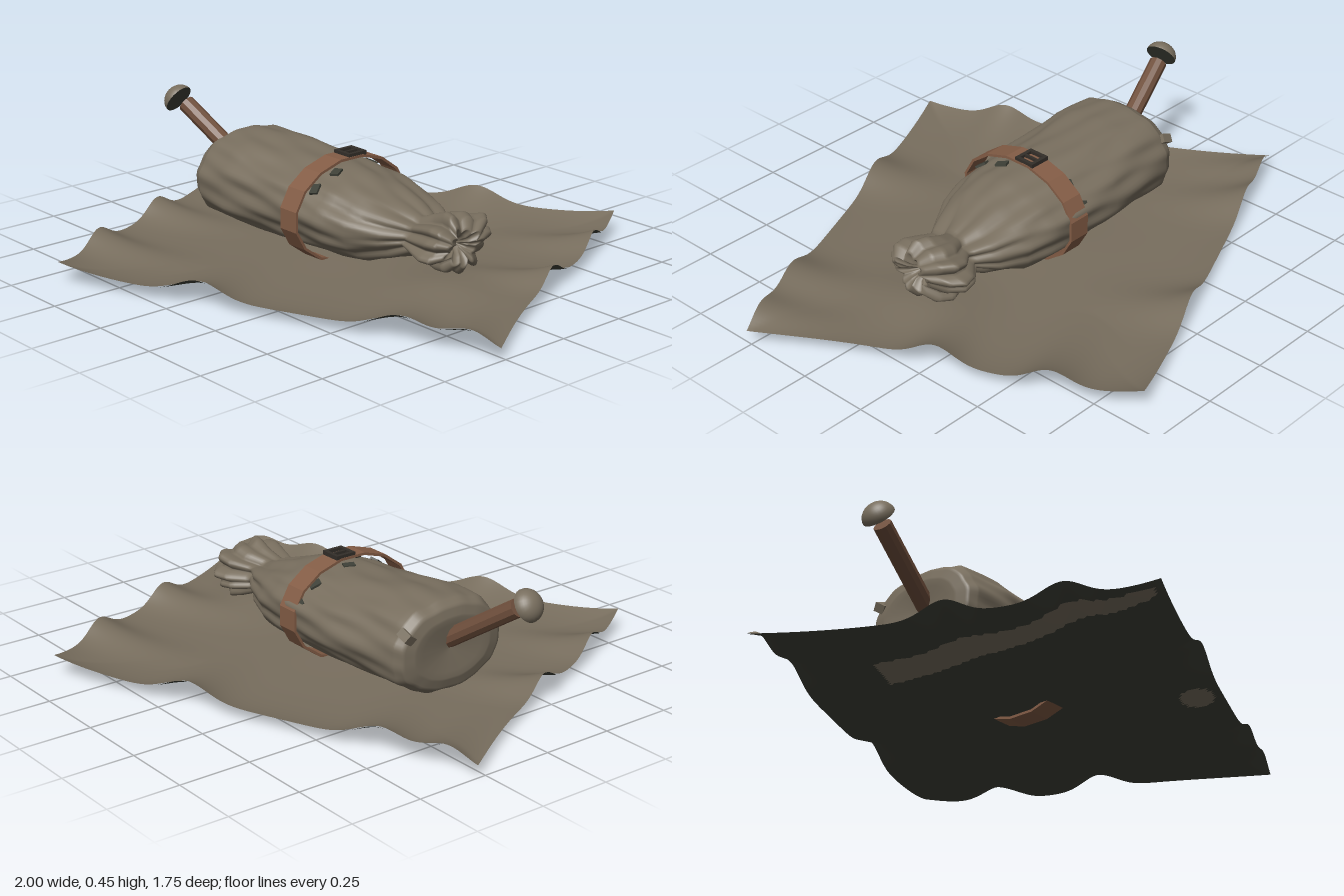
import * as THREE from 'three';

const mat = (name, color) => {
  const m = new THREE.MeshStandardMaterial({ color });
  m.name = name;
  return m;
};

// faceted normals
const facet = (g) => {
  const f = g.index ? g.toNonIndexed() : g;
  f.computeVertexNormals();
  return f;
};

// sum of soft bumps centred on the given places
const bumps = (u, centres) => centres.reduce((sum, c) => sum + Math.exp(-(((u - c) / 0.14) ** 2)), 0);

export function createModel() {
  const cloth = mat('cloth', 0x786e5e);
  const lining = mat('dark lining', 0x3f4138);
  const leather = mat('leather', 0x845d46);
  const wood = mat('wood', 0x70503d);
  const metal = mat('dark metal', 0x332e29);

  const root = new THREE.Group();
  const add = (parent, name, geo, material, x = 0, y = 0, z = 0) => {
    const m = new THREE.Mesh(geo, material);
    m.name = name;
    m.position.set(x, y, z);
    parent.add(m);
    return m;
  };

  // ground sheet: skewed square with raised edges and a few folds running in from them
  const corners = [[-1, -0.28], [0.42, -0.88], [1, 0.27], [-0.42, 0.87]];
  const longFolds = [-0.33, 0.57, 0.88], shortFolds = [-0.55, 0.06];
  const sheet = new THREE.PlaneGeometry(2, 2, 120, 120);
  const p = sheet.attributes.position;
  const grid = [];
  for (let i = 0; i < p.count; i++) {
    const s = p.getX(i), t = -p.getY(i);
    grid.push([s, t]);
    const w = [(1 - s) * (1 - t), (1 + s) * (1 - t), (1 + s) * (1 + t), (1 - s) * (1 + t)];
    let x = 0, z = 0;
    corners.forEach((c, k) => { x += c[0] * w[k] / 4; z += c[1] * w[k] / 4; });
    x -= 0.02 * s * Math.cos(Math.PI * t / 2) + 0.022 * Math.sin(Math.PI * t) * Math.abs(s);
    const es = Math.abs(s), et = Math.abs(t);
    const rim = Math.max(es ** 8, et ** 8) * 0.02;
    const foldS = es ** 4 * bumps(s > 0 ? t : -t, shortFolds) * (1 - et ** 8);
    const foldT = et ** 4 * bumps(t > 0 ? s : -s, longFolds) * (1 - es ** 12);
    const corner = (es * et) ** 5 * (s * t < 0 ? 0.035 : 0.005);
    // gentle rise under the middle and the tied end of the sack
    const rise = 0.01 * Math.exp(-(x * x + z * z) / 0.06)
      + 0.03 * Math.exp(-((x - 0.5) ** 2 + z * z) / 0.03);
    p.setXYZ(i, x, 0.017 + rim + corner + rise + 0.056 * Math.max(foldS, foldT), z);
  }
  sheet.computeVertexNormals();
  add(root, 'groundSheet', sheet, cloth);

  // underside: dark, with two paler areas
  const pale = ([s, t]) => Math.hypot(s, t - 0.875) < 0.09
    || (t > -0.55 && t < 0.95 && s > -0.97 && Math.abs(s + 0.72 + 0.25 * t) < 0.08 - 0.05 * t);
  const under = sheet.clone();
  const faces = [[], []];
  for (let i = 0; i < sheet.index.count; i += 3) {
    const [a, b, c] = [0, 1, 2].map((k) => sheet.index.getX(i + k));
    faces[pale(grid[a]) ? 1 : 0].push(a, c, b);
  }
  under.setIndex(faces.flat());
  under.addGroup(0, faces[0].length, 0);
  under.addGroup(faces[0].length, faces[1].length, 1);
  under.computeVertexNormals();
  add(root, 'sheetUnderside', under, [lining, cloth], 0, -0.004, 0);

  // sack: x, centre z, centre y, half width, half height, pleat depth
  const sections = [
    [-0.53, 0.01, 0.19, 0.002, 0.002, 0],
    [-0.545, 0.01, 0.19, 0.15, 0.1, 0.01],
    [-0.535, 0.01, 0.19, 0.2, 0.138, 0.02],
    [-0.5, 0.01, 0.19, 0.216, 0.158, 0.035],
    [-0.36, 0.01, 0.19, 0.228, 0.158, 0.045],
    [-0.2, -0.005, 0.185, 0.23, 0.148, 0.045],
    [0, -0.01, 0.18, 0.226, 0.141, 0.045],
    [0.1, -0.01, 0.175, 0.22, 0.133, 0.05],
    [0.2, -0.015, 0.165, 0.195, 0.118, 0.065],
    [0.3, -0.025, 0.165, 0.145, 0.085, 0.09],
    [0.37, -0.025, 0.17, 0.098, 0.055, 0.12],
    [0.43, -0.045, 0.17, 0.13, 0.075, 0.15],
    [0.48, -0.045, 0.17, 0.14, 0.088, 0.18],
    [0.52, -0.03, 0.17, 0.12, 0.085, 0.2],
    [0.55, -0.015, 0.17, 0.07, 0.055, 0.24],
    [0.53, -0.02, 0.17, 0.035, 0.03, 0.2],
    [0.49, -0.03, 0.17, 0.002, 0.002, 0],
  ];
  const N = 96, sub = 5, pos = [], idx = [];
  const rings = (sections.length - 1) * sub + 1;
  for (let i = 0; i < rings; i++) {
    const k = Math.min(Math.floor(i / sub), sections.length - 2), f = i / sub - k;
    const [x, cz, cy, rz, ry, d] = sections[k].map((v, c) => v + (sections[k + 1][c] - v) * f);
    const gather = THREE.MathUtils.smoothstep(x, 0.1, 0.35);
    for (let j = 0; j < N; j++) {
      const a = j / N * Math.PI * 2, c = Math.cos(a), s = Math.sin(a);
      const soft = 0.45 * Math.sin(5 * a + 7 * x) + 0.4 * Math.sin(9 * a - 11 * x + 1) + 0.3 * Math.sin(16 * a + 14 * x);
      const pleat = 1.4 * (Math.abs(Math.sin(5.5 * a + 0.6)) - 0.6) + 0.4 * Math.sin(7 * a + 8 * x);
      const r = 1 + d * (soft * (1 - gather) + pleat * gather);
      const e = 2 / (2.15 - 0.15 * gather);
      pos.push(x + 0.012 * gather * Math.sin(3 * a),
        cy + ry * r * Math.sign(s) * Math.abs(s) ** e,
        cz + rz * r * Math.sign(c) * Math.abs(c) ** e);
      if (i < rings - 1) {
        const j2 = (j + 1) % N, A = i * N + j, B = A + N, C = i * N + j2, D = C + N;
        idx.push(A, B, C, B, D, C);
      }
    }
  }
  const sack = new THREE.BufferGeometry();
  sack.setAttribute('position', new THREE.Float32BufferAttribute(pos, 3));
  sack.setIndex(idx);
  sack.computeVertexNormals();
  add(root, 'sack', sack, cloth);

  // small fold at the corner of the sack mouth
  const fold = add(root, 'mouthFold', new THREE.BoxGeometry(0.045, 0.03, 0.04), cloth, -0.525, 0.265, -0.165);
  fold.rotation.set(0.6, 0.2, 0.3);

  // strap: thin faceted loop around the sack
  const loop = (path, rx, ry) => {
    const pts = [];
    for (let i = 0; i < 16; i++) {
      const a = (i + 0.5) / 16 * Math.PI * 2;
      pts.push(new THREE.Vector2(rx * Math.cos(a), ry * Math.sin(a)));
    }
    path.setFromPoints(pts);
    path.closePath();
    return path;
  };
  const band = loop(new THREE.Shape(), 0.248, 0.181);
  band.holes.push(loop(new THREE.Path(), 0.239, 0.172));
  const strap = new THREE.ExtrudeGeometry(band, { depth: 0.08, bevelEnabled: false });
  strap.translate(0, 0, -0.04).rotateY(Math.PI / 2);
  add(root, 'strap', strap, leather, -0.005, 0.178, 0);

  // dark tucks where the strap pinches the sack: side, angle round the sack
  for (const [side, deg] of [[1, 42], [1, 70], [-1, 92], [-1, 130], [-1, 158]]) {
    const a = THREE.MathUtils.degToRad(deg);
    const tuck = add(root, 'strapTuck', new THREE.BoxGeometry(0.03, 0.008, 0.04), lining,
      -0.005 + side * 0.04, 0.18 + 0.146 * Math.sin(a), -0.01 + 0.23 * Math.cos(a));
    tuck.rotation.set(Math.atan2(Math.cos(a) / 0.23, Math.sin(a) / 0.146), side * 0.4, 0);
  }

  // buckle: square frame with a prong, standing proud of the strap
  const buckle = new THREE.Group();
  buckle.name = 'buckle';
  buckle.position.set(-0.005, 0.359, -0.028);
  for (const k of [-1, 1]) {
    add(buckle, 'buckleSide', new THREE.BoxGeometry(0.013, 0.014, 0.076), metal, k * 0.032, 0, 0);
    add(buckle, 'buckleEnd', new THREE.BoxGeometry(0.077, 0.014, 0.013), metal, 0, 0, k * 0.032);
  }
  add(buckle, 'prong', new THREE.BoxGeometry(0.009, 0.012, 0.06), metal);
  root.add(buckle);

  // handle leaning out of the sack, with a separate domed cap above it
  const tip = new THREE.Vector3(-0.775, 0.385, 0.068);
  const base = new THREE.Vector3(-0.46, 0.175, 0.005);
  const axis = tip.clone().sub(base);
  const up = new THREE.Vector3(0, 1, 0);
  const turn = new THREE.Quaternion().setFromUnitVectors(up, axis.clone().normalize());
  const mid = tip.clone().add(base).multiplyScalar(0.5);
  const shaft = facet(new THREE.CylinderGeometry(0.031, 0.031, axis.length(), 10));
  add(root, 'handle', shaft, wood, mid.x, mid.y, mid.z).quaternion.copy(turn);

  const cap = new THREE.Group();
  cap.name = 'handleCap';
  cap.position.set(-0.803, 0.397, 0.08);
  cap.quaternion.copy(turn);
  add(cap, 'capDome', new THREE.SphereGeometry(0.055, 24, 10, 0, Math.PI * 2, 0, Math.PI / 2).scale(1, 0.85, 1), cloth);
  add(cap, 'capUnderside', new THREE.CircleGeometry(0.055, 24).rotateX(Math.PI / 2), lining);
  root.add(cap);

  return root;
}
